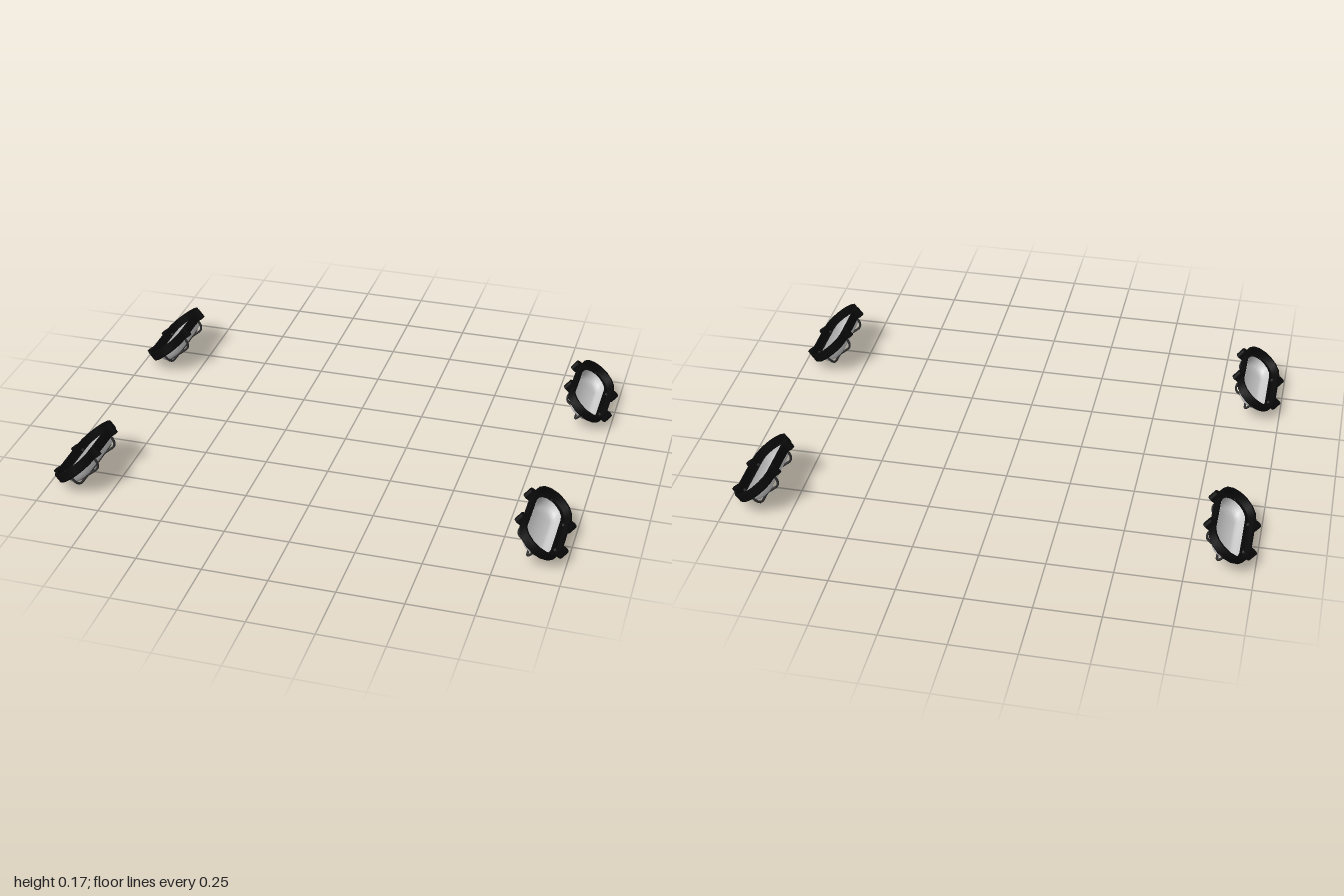
import * as THREE from 'three';
import { toCreasedNormals } from 'three/addons/utils/BufferGeometryUtils.js';

const SPINE = 0.1; // half length of the straight part of each stadium outline
const TILT = 0.66; // lean of each lamp
const black = new THREE.MeshStandardMaterial({ color: 0x0a0a0a });
const steel = new THREE.MeshStandardMaterial({ color: 0x333333 });
const glass = new THREE.MeshStandardMaterial({ color: 0xcccccc, side: THREE.DoubleSide });

// Sweeps a profile of [radius, y] points around a stadium outline
function stadiumSweep(profile, crease, arcs = 8) {
  const pos = [], index = [], n = profile.length, around = 2 * (arcs + 1);
  for (let i = 0; i < around; i++) {
    const end = i <= arcs ? 1 : -1;
    const a = (end > 0 ? i : i - 1) * Math.PI / arcs;
    for (const [r, y] of profile) pos.push(r * Math.cos(a), y, end * SPINE + r * Math.sin(a));
  }
  for (let i = 0; i < around; i++) {
    const k = (i + 1) % around;
    for (let j = 0; j < n - 1; j++) {
      const a = i * n + j, b = k * n + j;
      index.push(a, a + 1, b, b, a + 1, b + 1);
    }
  }
  const g = new THREE.BufferGeometry();
  g.setAttribute('position', new THREE.Float32BufferAttribute(pos, 3));
  g.setIndex(index);
  return toCreasedNormals(g, crease);
}

// Round wire through a half path that is mirrored about the middle
function wire(half, toPoint) {
  const pts = [...half, ...half.slice().reverse().map(([s, y]) => [-s, y])];
  const curve = new THREE.CatmullRomCurve3(pts.map(toPoint), false, 'centripetal');
  return new THREE.TubeGeometry(curve, 32, 0.005, 6);
}

function add(parent, name, geometry, material, x = 0, y = 0, z = 0) {
  const m = new THREE.Mesh(geometry, material);
  m.name = name;
  m.position.set(x, y, z);
  parent.add(m);
  return m;
}

// One caged lamp, facing down, long axis on z
function makeLamp() {
  const lamp = new THREE.Group();

  // open-backed tray with an opening for the lens
  add(lamp, 'housing', stadiumSweep([
    [0.0875, -0.015], [0.0875, 0.018], [0.079, 0.018], [0.079, -0.014],
    [0.058, -0.014], [0.058, -0.02], [0.083, -0.02], [0.0875, -0.015],
  ], 0.6), black);

  // domed lens
  add(lamp, 'lens', stadiumSweep([
    [0, -0.052], [0.038, -0.052], [0.047, -0.048], [0.054, -0.038], [0.058, -0.012],
  ], 0.8), glass);

  // mounting lugs and the cross wires between them
  const lugBox = new THREE.BoxGeometry(0.018, 0.039, 0.026);
  const lugEnd = new THREE.CylinderGeometry(0.013, 0.013, 0.039, 10);
  const cross = wire([[-0.074, -0.004], [-0.071, -0.042], [-0.056, -0.06], [-0.03, -0.063]],
    ([s, y]) => new THREE.Vector3(s, y, 0));
  for (const z of [-0.083, 0.083]) {
    for (const s of [-1, 1]) {
      const lug = new THREE.Group();
      lug.name = 'lug';
      lug.position.set(s * 0.092, 0, z);
      add(lug, 'lugBase', lugBox, black);
      add(lug, 'lugEnd', lugEnd, black, s * 0.008);
      lamp.add(lug);
    }
    add(lamp, 'cageCrossWire', cross, steel, 0, 0, z);
  }

  // lengthwise cage wire
  add(lamp, 'cageLongWire',
    wire([[-0.172, -0.012], [-0.168, -0.042], [-0.15, -0.06], [-0.11, -0.063]],
      ([s, y]) => new THREE.Vector3(0, y, s)), steel);
  return lamp;
}

export function createModel() {
  const model = new THREE.Group();
  model.name = 'cagedLamps';
  // two lamps per side, leaning so they face inward and down
  for (const side of [-1, 1]) {
    for (const end of [-1, 1]) {
      const lamp = makeLamp();
      lamp.name = (side > 0 ? 'left' : 'right') + (end > 0 ? 'Front' : 'Back') + 'Lamp';
      lamp.position.set(side * 0.898, 0.092, end * 0.497);
      lamp.rotation.z = -side * TILT;
      model.add(lamp);
    }
  }
  return model;
}
